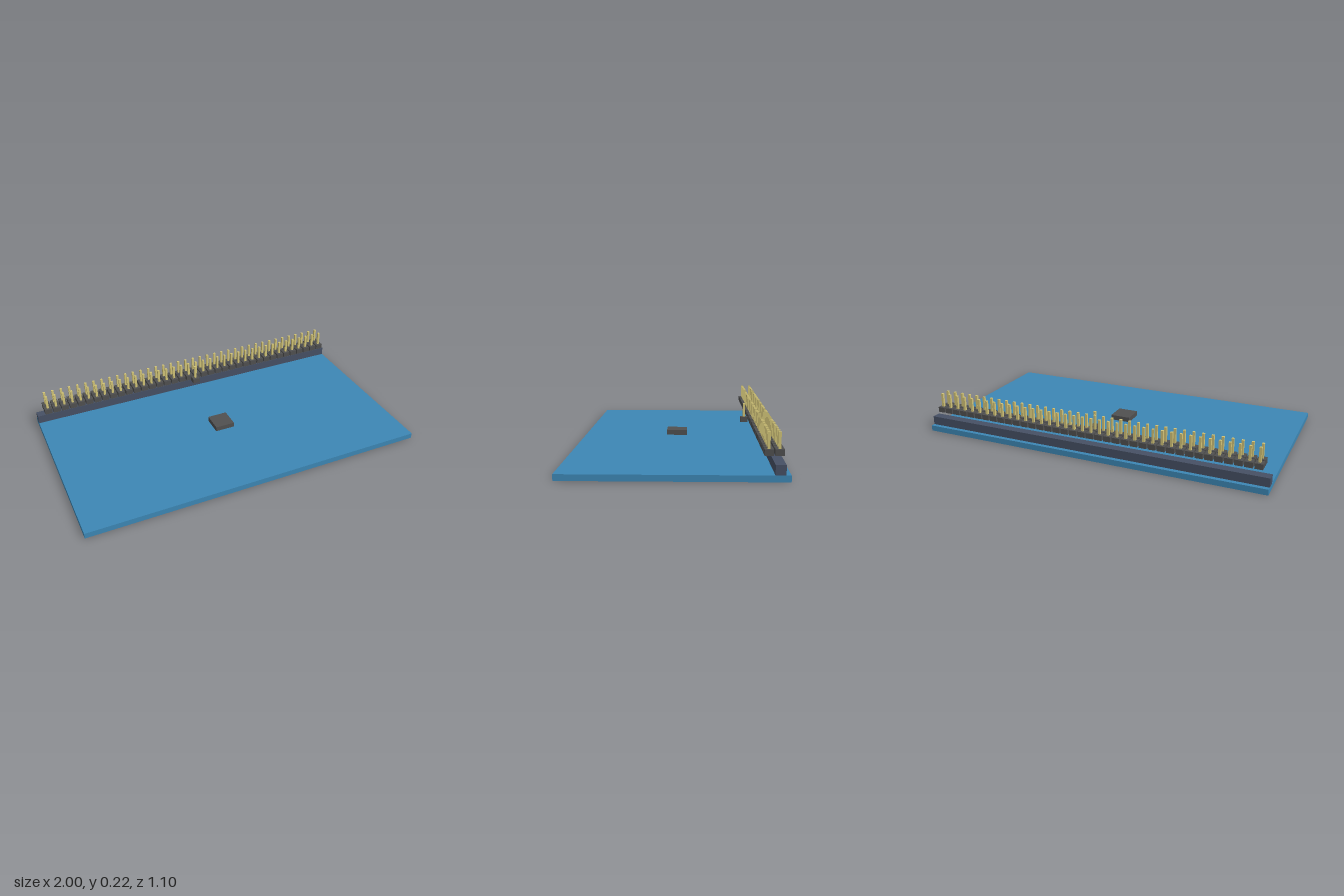
import * as THREE from 'three';

export function createModel() {
  const model = new THREE.Group();
  model.name = 'circuitBoard';

  const mat = (color) => new THREE.MeshStandardMaterial({ color });
  const blue = mat(0x3d87b5);
  const slate = mat(0x465064);
  const charcoal = mat(0x505050);
  const brass = mat(0xd2c478);

  // Box resting on height y
  const box = (parent, name, material, [w, h, d], [x, y, z]) => {
    const mesh = new THREE.Mesh(new THREE.BoxGeometry(w, h, d), material);
    mesh.name = name;
    mesh.position.set(x, y + h / 2, z);
    parent.add(mesh);
  };

  // Board, connector strip and central chip
  box(model, 'board', blue, [2, 0.032, 1.098], [0, 0, 0]);
  box(model, 'connectorStrip', slate, [2, 0.049, 0.05], [0, 0.032, -0.5]);
  box(model, 'chip', charcoal, [0.116, 0.028, 0.118], [0, 0.043, 0]);

  // One header pin: square collar with a thin post standing on it
  const addPin = (parent, x, z) => {
    const pin = new THREE.Group();
    pin.name = 'headerPin';
    pin.position.set(x, 0.115, z);
    box(pin, 'pinCollar', charcoal, [0.043, 0.03, 0.043], [0, 0, 0]);
    box(pin, 'pinPost', brass, [0.013, 0.08, 0.013], [0, 0.03, 0]);
    parent.add(pin);
  };

  // Two rows of pins above the strip
  const count = 38, pitch = 0.0507;
  [['rearPinRow', -0.499], ['frontPinRow', -0.449]].forEach(([name, z]) => {
    const row = new THREE.Group();
    row.name = name;
    for (let i = 0; i < count; i++) addPin(row, (i - (count - 1) / 2) * pitch, z);
    model.add(row);
  });

  // Single extra pin at the centre
  addPin(model, 0, -0.398);

  return model;
}
